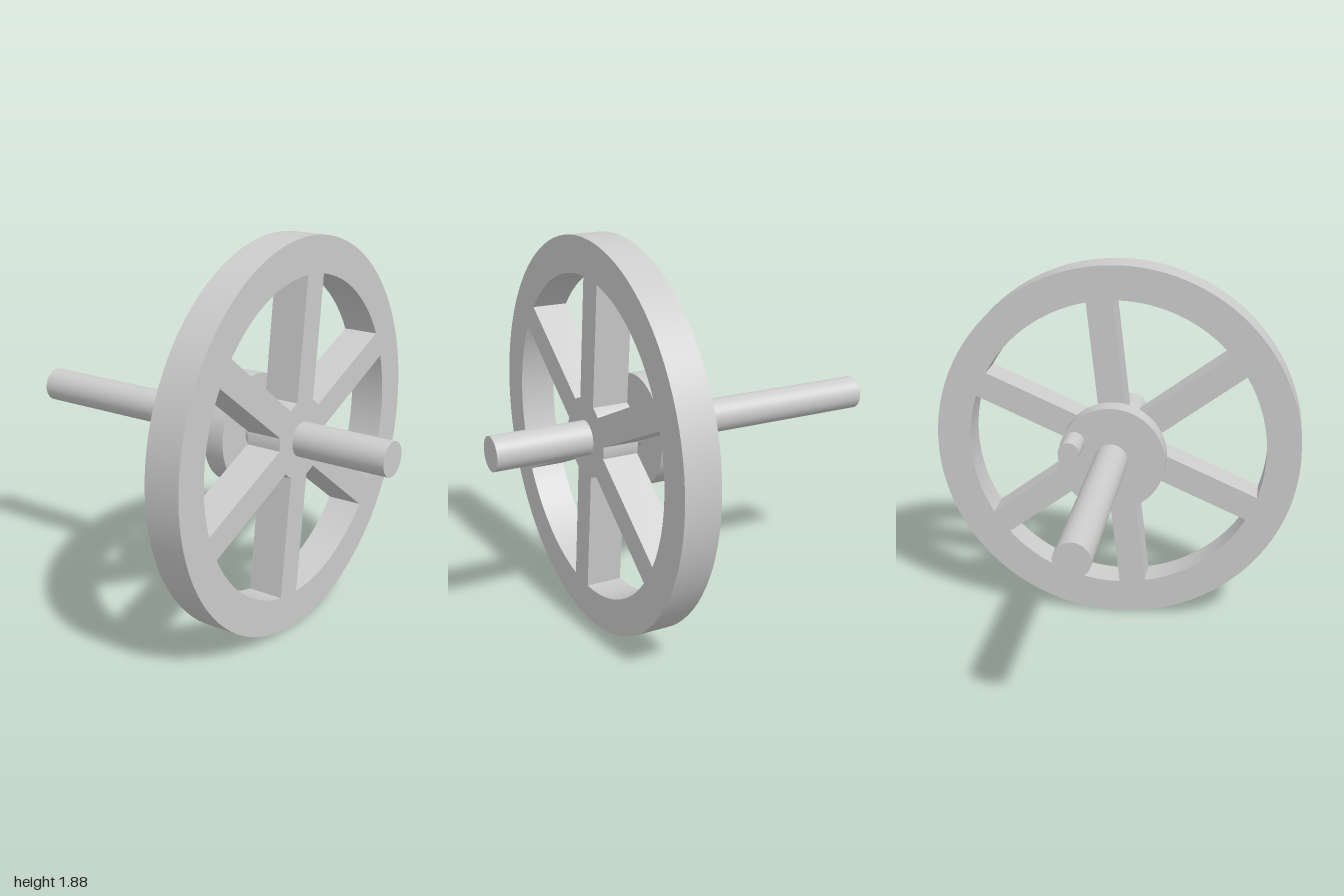
import * as THREE from 'three';
import { toCreasedNormals } from 'three/addons/utils/BufferGeometryUtils.js';

const material = new THREE.MeshStandardMaterial({ color: 0xcccccc });

// Cylinder along z between two depths
function zCylinder(name, radius, z0, z1, x = 0, y = 0) {
  const geometry = new THREE.CylinderGeometry(radius, radius, z1 - z0, 64);
  geometry.rotateX(Math.PI / 2);
  const mesh = new THREE.Mesh(geometry, material);
  mesh.name = name;
  mesh.position.set(x, y, (z0 + z1) / 2);
  return mesh;
}

// Spoked wheel: a disc with one window cut between each pair of spokes
function flywheel(z0, z1) {
  const outer = 0.94, rimInner = 0.766, hub = 0.19, halfSpoke = 0.068;
  const spokes = 6, step = (Math.PI * 2) / spokes;
  const firstSpoke = THREE.MathUtils.degToRad(23.4);

  const shape = new THREE.Shape();
  shape.absarc(0, 0, outer, 0, Math.PI * 2, false);

  const rimTrim = Math.asin(halfSpoke / rimInner);
  const hubTrim = Math.asin(halfSpoke / hub);
  for (let i = 0; i < spokes; i++) {
    const a = firstSpoke + i * step, b = a + step;
    const opening = new THREE.Path();
    opening.absarc(0, 0, rimInner, a + rimTrim, b - rimTrim, false);
    opening.absarc(0, 0, hub, b - hubTrim, a + hubTrim, true);
    opening.closePath();
    shape.holes.push(opening);
  }

  const geometry = new THREE.ExtrudeGeometry(shape, {
    depth: z1 - z0, bevelEnabled: false, curveSegments: 48,
  });
  const mesh = new THREE.Mesh(toCreasedNormals(geometry, 0.3), material);
  mesh.name = 'flywheel';
  mesh.position.z = z0;
  return mesh;
}

export function createModel() {
  const model = new THREE.Group();
  model.name = 'flywheelShaft';
  model.position.y = 0.94;

  model.add(
    zCylinder('shaft', 0.083, -1, 1),
    flywheel(0.355, 0.53),
    zCylinder('crankDisc', 0.269, 0.165, 0.27),
    zCylinder('crankPin', 0.053, 0, 0.17, 0.187, 0.087),
  );

  const root = new THREE.Group();
  root.add(model);
  return root;
}
